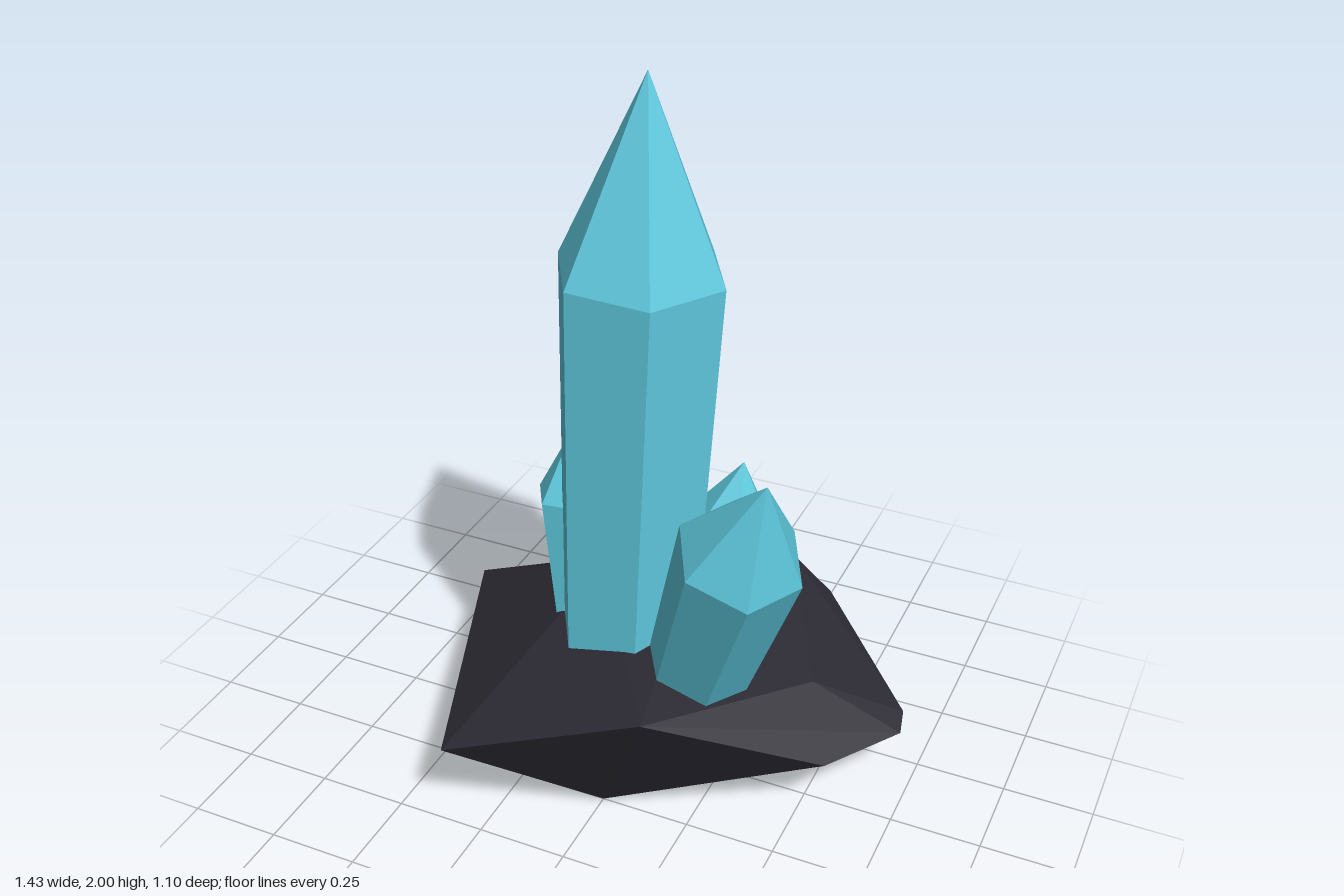
import * as THREE from 'three';
import { ConvexGeometry } from 'three/addons/geometries/ConvexGeometry.js';

const crystalMat = new THREE.MeshStandardMaterial({ color: 0x60cbe0, flatShading: true });
crystalMat.name = 'crystalBlue';
const rockMat = new THREE.MeshStandardMaterial({ color: 0x2c2a33, flatShading: true });
rockMat.name = 'darkRock';

// Six-sided crystal from base to tip: a widening shaft, then a point
function crystal(name, base, tip, baseRadius, shoulderRadius, shoulder, twist) {
  const from = new THREE.Vector3(...base);
  const axis = new THREE.Vector3(...tip).sub(from);
  const length = axis.length();
  const profile = [
    [0, 0], [baseRadius, 0], [shoulderRadius, length * shoulder], [0, length],
  ].map(([r, y]) => new THREE.Vector2(r, y));
  const mesh = new THREE.Mesh(new THREE.LatheGeometry(profile, 6, twist), crystalMat);
  mesh.name = name;
  mesh.position.copy(from);
  mesh.quaternion.setFromUnitVectors(new THREE.Vector3(0, 1, 0), axis.normalize());
  return mesh;
}

export function createModel() {
  const model = new THREE.Group();
  model.name = 'crystalCluster';

  // Faceted rock: foot, rim and crown corners
  const corners = [
    [-0.24, 0, -0.28], [0.05, 0, -0.3], [0.05, 0, 0.12], [0, 0, 0.25], [-0.22, 0, 0.05],
    [-0.72, 0.16, -0.39], [-0.63, 0.12, -0.5], [-0.33, 0.285, 0.545],
    [0.58, 0.2, 0.09], [0.715, 0.17, -0.16], [0.7, 0.19, -0.23],
    [0.37, 0.3, -0.545], [0.36, 0.22, -0.54], [0.25, 0.39, -0.55],
    [0.18, 0.43, 0.4], [0.03, 0.475, -0.37], [-0.22, 0.43, -0.23], [0.48, 0.33, -0.08],
  ];
  const rock = new THREE.Mesh(
    new ConvexGeometry(corners.map((p) => new THREE.Vector3(...p))), rockMat);
  rock.name = 'rockBase';
  model.add(rock);

  // Large and medium crystals
  const side = Math.PI / 2;
  model.add(
    crystal('mainCrystal', [-0.07, 0.08, -0.04], [0, 2, -0.04], 0.19, 0.23, 0.73, side),
    crystal('frontLeftCrystal', [0.09, 0.06, -0.01], [0.455, 1.155, 0.285], 0.125, 0.17, 0.76, side),
    crystal('backRightCrystal', [-0.03, 0.1, -0.24], [-0.25, 1.31, -0.31], 0.13, 0.17, 0.74, side),
    crystal('leftCrystal', [0.1, 0.05, -0.13], [0.22, 0.91, -0.18], 0.11, 0.135, 0.76, side),
    crystal('rightCrystal', [-0.19, 0.1, -0.1], [-0.265, 0.92, -0.13], 0.1, 0.12, 0.77, side),
  );

  // Small shards between them
  model.add(
    crystal('backShard', [0, 0.1, -0.22], [0.03, 0.82, -0.28], 0.05, 0.065, 0.78, 0),
    crystal('innerShard', [0.09, 0.1, -0.03], [0.11, 0.7, -0.06], 0.05, 0.06, 0.76, 0),
    crystal('lowShard', [-0.2, 0.07, -0.33], [-0.19, 0.58, -0.37], 0.06, 0.07, 0.74, 0),
  );
  return model;
}
